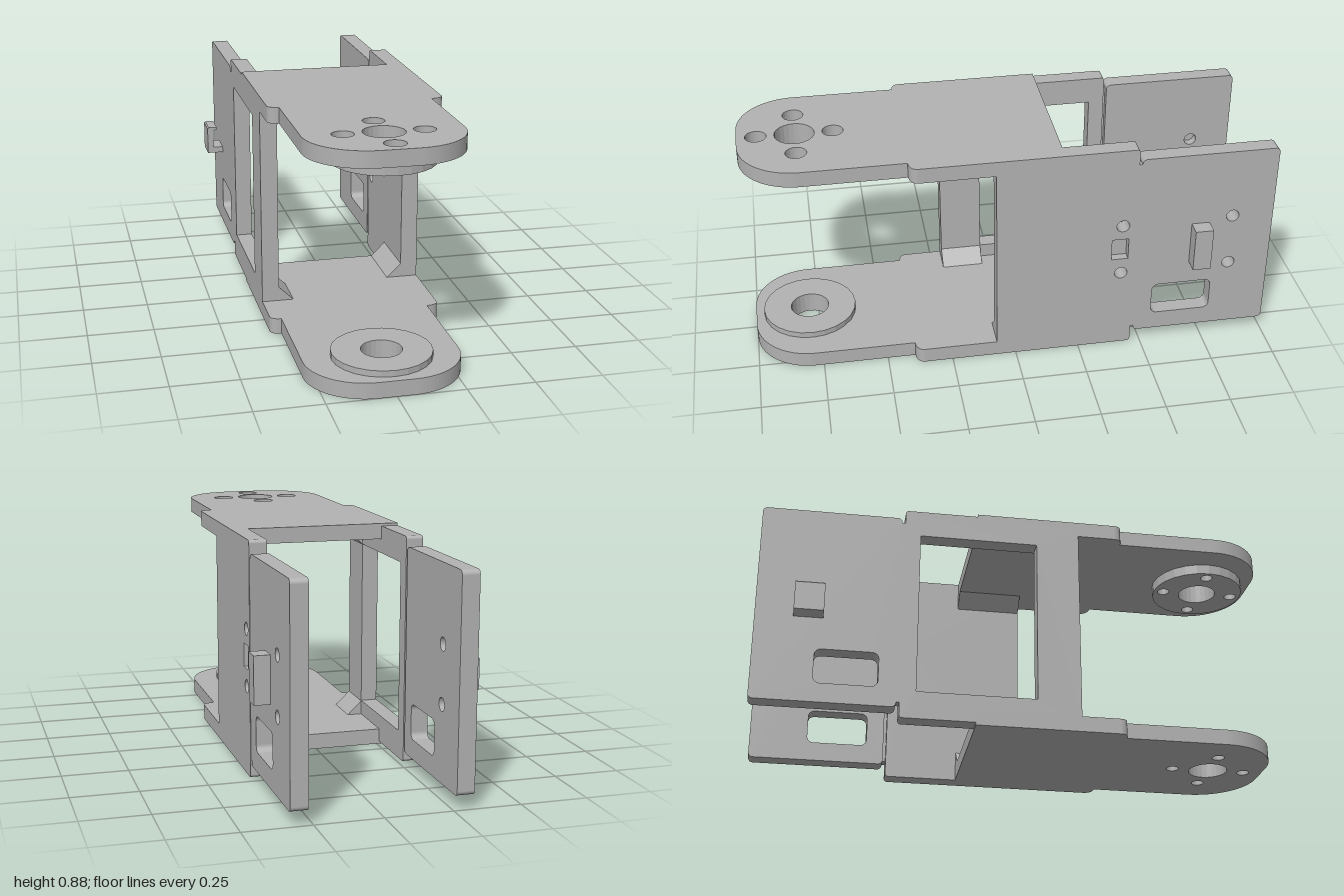
import * as THREE from 'three';

const HUB_Z = 0.785;

// rectangle path with rounded corners
function rect(target, u0, v0, u1, v1, r = 0.001) {
  target.moveTo(u0 + r, v0);
  target.lineTo(u1 - r, v0);
  target.absarc(u1 - r, v0 + r, r, -Math.PI / 2, 0, false);
  target.lineTo(u1, v1 - r);
  target.absarc(u1 - r, v1 - r, r, 0, Math.PI / 2, false);
  target.lineTo(u0 + r, v1);
  target.absarc(u0 + r, v1 - r, r, Math.PI / 2, Math.PI, false);
  target.lineTo(u0, v0 + r);
  target.absarc(u0 + r, v0 + r, r, Math.PI, Math.PI * 1.5, false);
  return target;
}

const circle = (u, v, r) => new THREE.Path().absarc(u, v, r, 0, Math.PI * 2, true);

function extrude(shape, depth) {
  return new THREE.ExtrudeGeometry(shape, { depth, bevelEnabled: false, curveSegments: 12 });
}

export function createModel() {
  const group = new THREE.Group();
  const grey = new THREE.MeshStandardMaterial({ color: 0xb2b2b2 });

  const add = (name, geometry) => {
    const mesh = new THREE.Mesh(geometry, grey);
    mesh.name = name;
    group.add(mesh);
    return mesh;
  };
  const box = (name, x0, x1, y0, y1, z0, z1) => {
    const g = new THREE.BoxGeometry(x1 - x0, y1 - y0, z1 - z0);
    add(name, g.translate((x0 + x1) / 2, (y0 + y1) / 2, (z0 + z1) / 2));
  };
  // upright slab: outline in (-z, y), thickness along x
  const slab = (name, x0, x1, [z0, z1, y0, y1, r], holes = []) => {
    const shape = rect(new THREE.Shape(), -z1, y0, -z0, y1, r);
    shape.holes.push(...holes);
    add(name, extrude(shape, x1 - x0).rotateY(Math.PI / 2).translate(x0, 0, 0));
  };
  const windowHole = (z0, z1, y0, y1, r) => rect(new THREE.Path(), -z1, y0, -z0, y1, r);
  // flat part: outline in (x, z), thickness along y
  const flat = (name, shape, y0, y1) =>
    add(name, extrude(shape, y1 - y0).rotateX(Math.PI / 2).translate(0, y1, 0));
  const screwHoles = (r) => [[0.143, 0], [-0.143, 0], [0, 0.143], [0, -0.143]]
    .map(([x, z]) => circle(x, HUB_Z + z, r));

  // top and bottom arms with rounded ends
  const armShape = (screwRadius) => {
    const s = new THREE.Shape();
    s.moveTo(-0.325, -0.18);
    s.lineTo(0.333, -0.18);
    s.lineTo(0.333, 0.36);
    s.quadraticCurveTo(0.33, 0.39, 0.285, 0.392);
    s.lineTo(0.285, 0.78);
    s.absarc(0.065, 0.78, 0.22, 0, Math.PI / 2, false);
    s.absarc(-0.065, 0.78, 0.22, Math.PI / 2, Math.PI, false);
    s.lineTo(-0.285, 0.392);
    s.quadraticCurveTo(-0.325, 0.39, -0.325, 0.36);
    s.holes.push(circle(0, HUB_Z, 0.075), ...screwHoles(screwRadius));
    return s;
  };
  flat('topArm', armShape(0.04), 0.82, 0.88);
  flat('bottomArm', armShape(0.024), 0, 0.06);

  // round bosses facing each other
  const boss = (holes) => {
    const s = new THREE.Shape().absarc(0, HUB_Z, 0.183, 0, Math.PI * 2, false);
    s.holes.push(circle(0, HUB_Z, 0.075), ...holes);
    return s;
  };
  flat('topBoss', boss(screwHoles(0.024)), 0.78, 0.82);
  flat('bottomBoss', boss([]), 0.06, 0.083);

  // side walls: the +x one is solid, the -x one has a large window
  const pinHoles = (z) => [0.335, 0.55].map((y) => circle(-z, y, 0.025));
  const rightWall = [-0.46, 0.075, 0, 0.88, 0.012];
  slab('wallInner', 0.267, 0.3, rightWall, pinHoles(-0.41));
  slab('wallOuter', 0.3, 0.333, rightWall,
    [...pinHoles(-0.41), windowHole(-0.435, -0.37, 0.4, 0.49)]);
  slab('windowWall', -0.325, -0.26, [-0.46, 0.215, 0.01, 0.87, 0.012],
    [windowHole(-0.4, 0.05, 0.117, 0.765)]);

  // rear panels with cable openings and pin holes
  const panel = [-1, -0.472, 0.05, 0.835, 0.018];
  const opening = () => windowHole(-0.775, -0.54, 0.125, 0.26, 0.025);
  slab('rearPanel', 0.267, 0.331, panel, [opening(), ...pinHoles(-0.84)]);
  slab('rearPanelInner', -0.295, -0.26, panel, [opening(), ...pinHoles(-0.84)]);
  slab('rearPanelOuter', -0.325, -0.295, panel, [opening()]);

  // thin webs behind the inner grooves
  box('hingeWeb', 0.29, 0.331, 0.07, 0.815, -0.475, -0.455);
  box('hingeWeb', -0.325, -0.285, 0.07, 0.815, -0.475, -0.455);

  // corner gussets between arms and walls
  const gusset = (side, y, dir, z0, z1) => {
    const wall = side > 0 ? 0.267 : -0.26;
    const p = [[wall, y], [wall - side * 0.057, y], [wall, y - dir * 0.055]];
    const s = new THREE.Shape(p.map(([a, b]) => new THREE.Vector2(a, b)));
    add('gusset', extrude(s, z1 - z0).translate(0, 0, z0));
  };
  for (const [y, dir] of [[0.82, 1], [0.06, -1]]) {
    gusset(1, y, dir, -0.18, 0.075);
    gusset(-1, y, dir, 0.05, 0.215);
  }

  // block on one panel, hook on the other
  box('block', 0.33, 0.39, 0.355, 0.53, -0.75, -0.68);
  const hook = new THREE.Shape([
    [-0.324, 0.385], [-0.324, 0.41], [-0.365, 0.41], [-0.365, 0.487], [-0.35, 0.487],
    [-0.35, 0.5], [-0.385, 0.5], [-0.39, 0.495], [-0.39, 0.385],
  ].map(([x, y]) => new THREE.Vector2(x, y)));
  add('hook', extrude(hook, 0.11).translate(0, 0, -0.86));

  return group;
}
